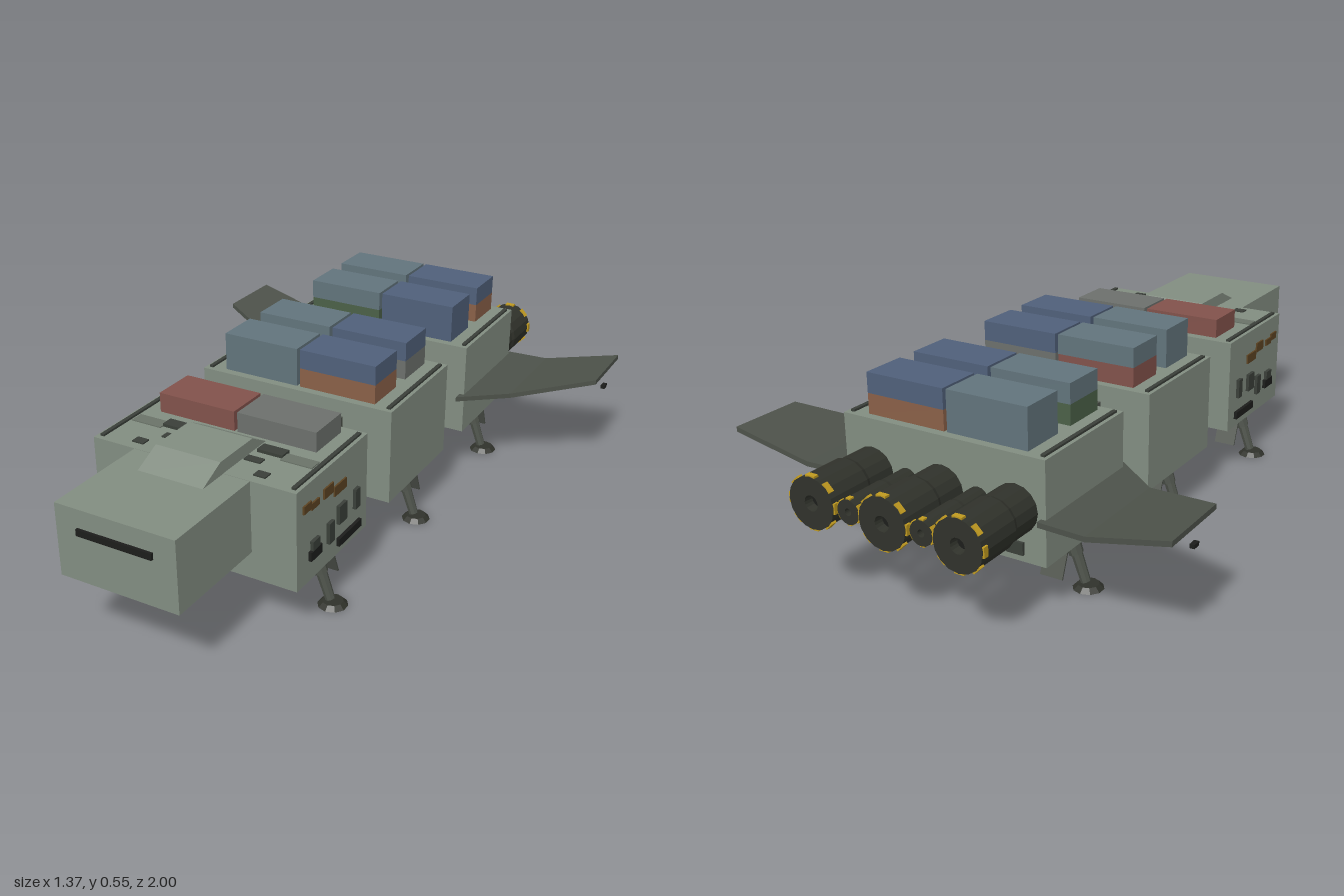
import * as THREE from 'three';

const mat = (color, extra = {}) => new THREE.MeshStandardMaterial({ color, flatShading: true, ...extra });
const M = {
  hull: mat(0x828d81), dark: mat(0x4d524a), engine: mat(0x30322b), black: mat(0x1c1d1b),
  vent: mat(0x3a3f39), yellow: mat(0xc09a20), brown: mat(0x5c4322), shade: mat(0x6a7368),
  steel: mat(0x62747c), blue: mat(0x50607a), red: mat(0x82524b), grey: mat(0x6c706c),
  orange: mat(0x8a6048), green: mat(0x4b6048),
};

export function createModel() {
  const root = new THREE.Group();
  root.name = 'cargoShip';

  const add = (name, geo, material, parent = root) => {
    const m = new THREE.Mesh(geo, material);
    m.name = name;
    parent.add(m);
    return m;
  };
  // Box given by its extents
  const box = (name, material, x0, x1, y0, y1, z0, z1, parent = root) => {
    const m = add(name, new THREE.BoxGeometry(x1 - x0, y1 - y0, z1 - z0), material, parent);
    m.position.set((x0 + x1) / 2, (y0 + y1) / 2, (z0 + z1) / 2);
    return m;
  };
  // Same box on both sides of x = 0
  const pair = (name, material, x0, x1, ...rest) => {
    box(name + 'Left', material, x0, x1, ...rest);
    box(name + 'Right', material, -x1, -x0, ...rest);
  };
  // Cylinder between two points
  const rod = (name, material, a, b, ra, rb, sides, parent = root) => {
    const A = new THREE.Vector3(...a), B = new THREE.Vector3(...b);
    const m = add(name, new THREE.CylinderGeometry(rb, ra, A.distanceTo(B), sides), material, parent);
    m.position.copy(A).add(B).multiplyScalar(0.5);
    m.quaternion.setFromUnitVectors(new THREE.Vector3(0, 1, 0), B.sub(A).normalize());
    return m;
  };

  // Three hull modules with roof rails and landing gear
  for (const [i, zc] of [0.48, -0.045, -0.57].entries()) {
    box('hullModule' + i, M.hull, -0.315, 0.315, 0.145, 0.435, zc - 0.19, zc + 0.19);
    pair('roofRail', M.vent, 0.292, 0.304, 0.43, 0.441, zc - 0.175, zc + 0.175);
    for (const s of [1, -1]) {
      const gear = new THREE.Group();
      gear.name = 'landingGear';
      root.add(gear);
      rod('strut', M.dark, [s * 0.262, 0.15, zc + 0.005], [s * 0.31, 0.015, zc + 0.005], 0.017, 0.014, 8, gear);
      rod('strutSleeve', M.dark, [s * 0.258, 0.15, zc + 0.005], [s * 0.282, 0.09, zc + 0.005], 0.025, 0.02, 8, gear);
      rod('foot', M.engine, [s * 0.318, 0, zc + 0.005], [s * 0.318, 0.013, zc + 0.005], 0.043, 0.03, 10, gear);
      const door = box('gearDoor', M.dark, -0.034, 0.034, -0.05, 0.05, -0.0025, 0.0025, gear);
      door.position.set(s * 0.256, 0.098, zc - 0.06);
      door.rotation.x = 0.37;
    }
  }

  // Connecting passages with couplings
  for (const z of [0.2175, -0.3075]) {
    box('connector', M.dark, -0.16, 0.16, 0.195, 0.385, z - 0.0755, z + 0.0755);
    for (const y of [0.215, 0.365]) pair('coupling', M.black, 0.157, 0.172, y - 0.009, y + 0.009, z - 0.009, z + 0.009);
  }

  // Cockpit with window slit
  box('cockpit', M.hull, -0.18, 0.18, 0.225, 0.434, 0.66, 0.992);
  box('windowSlit', M.black, -0.113, 0.113, 0.362, 0.381, 0.985, 1.0);

  // Roof canopy, side profile extruded across x
  const profile = new THREE.Shape([[-0.77, 0.43], [-0.68, 0.472], [-0.53, 0.472], [-0.455, 0.43]]
    .map(p => new THREE.Vector2(...p)));
  const canopy = add('canopy', new THREE.ExtrudeGeometry(profile, { depth: 0.2, bevelEnabled: false }), M.hull);
  canopy.rotation.y = Math.PI / 2;
  canopy.position.x = -0.1;

  // Row of guns under the cockpit
  for (let i = 0; i < 6; i++) {
    const x = -0.148 + i * 0.0592;
    box('gun', M.black, x - 0.008, x + 0.008, 0.207, 0.228, 0.85, 0.945);
    rod('gunTip', M.yellow, [x, 0.214, 0.94], [x, 0.214, 0.957], 0.009, 0.007, 8);
  }

  // Cargo containers: z start, then [lower, upper] colours for right and left
  const rows = [
    [0.32, ['red'], ['grey']],
    [-0.015, ['steel', 'steel'], ['orange', 'blue']],
    [-0.21, ['red', 'steel'], ['grey', 'blue']],
    [-0.54, ['green', 'steel'], ['blue', 'blue']],
    [-0.735, ['steel', 'steel'], ['orange', 'blue']],
  ];
  for (const [z, right, left] of rows) {
    [right, left].forEach((stack, side) => stack.forEach((c, level) => {
      const x = side ? 0.005 : -0.25, y = 0.435 + level * 0.058;
      box('container', M[c], x, x + 0.245, y, y + 0.058, z, z + 0.135);
    }));
  }

  // Side equipment panels on the front module: z0, z1, y0, y1, material
  for (const [z0, z1, y0, y1, m] of [
    [0.6, 0.64, 0.36, 0.383, 'brown'], [0.56, 0.6, 0.353, 0.373, 'brown'], [0.485, 0.535, 0.352, 0.382, 'brown'],
    [0.415, 0.48, 0.333, 0.362, 'brown'], [0.555, 0.612, 0.208, 0.235, 'black'], [0.565, 0.602, 0.235, 0.262, 'vent'],
    [0.488, 0.516, 0.208, 0.27, 'vent'], [0.42, 0.462, 0.24, 0.295, 'vent'],
    [0.345, 0.37, 0.24, 0.3, 'vent'], [0.335, 0.462, 0.172, 0.195, 'black'],
  ]) pair('sidePanel', M[m], 0.31, m === 'brown' ? 0.32 : 0.325, y0, y1, z0, z1);

  // Roof equipment on the front module
  pair('roofVent', M.shade, 0.19, 0.285, 0.43, 0.438, 0.5, 0.54);
  pair('roofBox', M.vent, 0.112, 0.19, 0.43, 0.444, 0.492, 0.528);
  pair('roofHatch', M.vent, 0.105, 0.155, 0.43, 0.439, 0.557, 0.582);
  pair('roofCap', M.vent, 0.172, 0.208, 0.43, 0.439, 0.615, 0.642);
  box('roofSocket', M.black, -0.028, 0.028, 0.43, 0.441, 0.29, 0.318);
  box('roofCable', M.black, -0.005, 0.005, 0.43, 0.44, 0.31, 0.39);

  // Belly hatch
  box('bellyHatch', M.black, -0.022, 0.022, 0.137, 0.15, 0.295, 0.4);

  // Cranked wings lofted from rear/front edges at three stations
  const stations = [[0.3, 0.268, -0.778, -0.35], [0.44, 0.268, -0.785, -0.46], [0.68, 0.325, -0.8, -0.57]];
  for (const s of [1, -1]) {
    const pos = [], idx = [], h = 0.0075;
    for (const [x, y, zr, zf] of stations)
      pos.push(s * x, y + h, zr, s * x, y + h, zf, s * x, y - h, zf, s * x, y - h, zr);
    const quad = (a, b, c, d) => s > 0 ? idx.push(a, b, c, a, c, d) : idx.push(a, c, b, a, d, c);
    for (let i = 0; i < 2; i++)
      for (let k = 0; k < 4; k++) {
        const n = (k + 1) % 4, o = i * 4;
        quad(o + k, o + n, o + 4 + n, o + 4 + k);
      }
    quad(3, 2, 1, 0);
    quad(8, 9, 10, 11);
    const g = new THREE.BufferGeometry();
    g.setAttribute('position', new THREE.Float32BufferAttribute(pos, 3));
    g.setIndex(idx);
    g.computeVertexNormals();
    add(s > 0 ? 'wingLeft' : 'wingRight', g, M.dark);
  }
  pair('wingLight', M.black, 0.67, 0.683, 0.264, 0.275, -0.69, -0.665);

  // Engines: recessed nozzle shells with yellow markings on the rim
  const engine = (name, x, r, zEnd, marks) => {
    const e = new THREE.Group();
    e.name = name;
    const L = -0.75 - zEnd;
    const pts = [[0, 0], [r * 0.93, 0], [r * 0.93, L * 0.4], [r, L * 0.45], [r, L], [r * 0.3, L], [r * 0.25, L - 0.03], [0, L - 0.03]]
      .map(p => new THREE.Vector2(...p));
    add('nozzle', new THREE.LatheGeometry(pts, 16), M.engine, e);
    const throat = add('throat', new THREE.CircleGeometry(r * 0.28, 12), M.black, e);
    throat.rotation.x = -Math.PI / 2;
    throat.position.y = L - 0.025;
    for (let i = 0; i < marks; i++) {
      const a = (i / marks) * Math.PI * 2;
      const m = box('rimMark', M.yellow, -r * 0.2, r * 0.2, -0.008, 0.008, -0.003, 0.003, e);
      m.position.set(Math.sin(a) * r, L - 0.01, Math.cos(a) * r);
      m.rotation.y = a;
    }
    e.rotation.x = -Math.PI / 2;
    e.position.set(x, 0.288, -0.75);
    root.add(e);
  };
  for (const x of [-0.225, 0, 0.225]) engine('mainEngine', x, 0.072, -0.998, 8);
  for (const x of [-0.1125, 0.1125]) engine('smallEngine', x, 0.034, -0.99, 6);

  // Vents on the rear wall below the engines
  for (let i = 0; i < 6; i++) {
    const x = -0.225 + i * 0.09;
    box('rearVent', M.vent, x - 0.025, x + 0.025, 0.165, 0.2, -0.768, -0.75);
  }

  return root;
}
